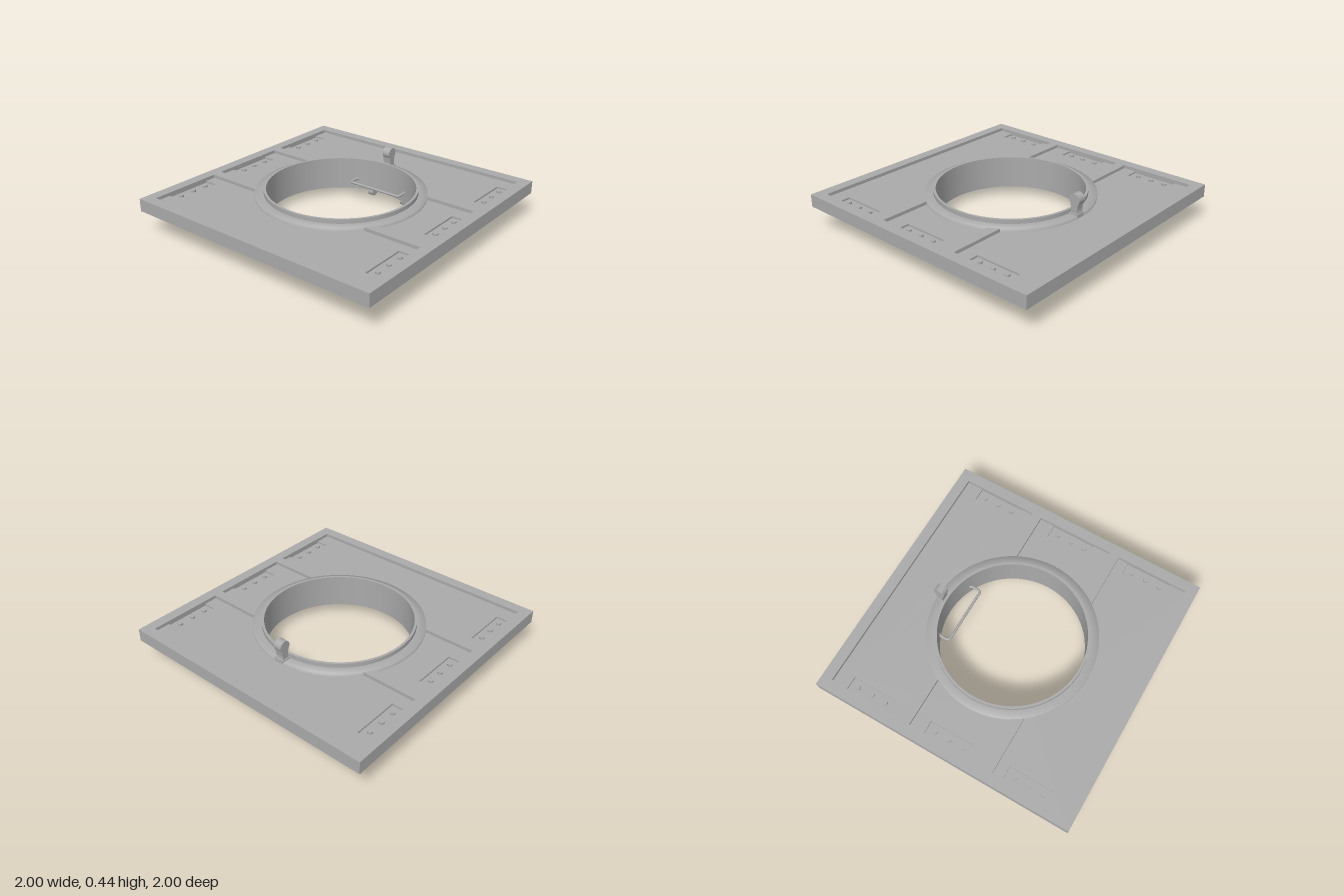
import * as THREE from 'three';
import { mergeGeometries } from 'three/addons/utils/BufferGeometryUtils.js';

const BOTTOM = 0.19, TOP = 0.285, MID = (BOTTOM + TOP) / 2;
const RECESS = 0.024;   // depth of the large trays on either face
const WEB = 0.02;       // thickness left at the rivet pockets
const EDGE = 0.92;      // inner edge of the rim

export function createModel() {
  const model = new THREE.Group();
  const grey = new THREE.MeshStandardMaterial({ color: 0xaaaaaa });
  grey.name = 'grey metal';

  const add = (name, geometry, x = 0, y = 0, z = 0) => {
    const mesh = new THREE.Mesh(geometry, grey);
    mesh.name = name;
    mesh.position.set(x, y, z);
    model.add(mesh);
    return mesh;
  };
  const rect = (Type, x0, x1, z0, z1) => new Type([
    new THREE.Vector2(x0, z0), new THREE.Vector2(x1, z0),
    new THREE.Vector2(x1, z1), new THREE.Vector2(x0, z1),
  ]);
  // Plan outline raised between two heights
  const slab = (shape, y0, y1) => new THREE.ExtrudeGeometry(shape, {
    depth: y1 - y0, bevelEnabled: false, curveSegments: 64,
  }).rotateX(-Math.PI / 2).translate(0, y0, 0);
  // Turned surface; sharp profiles get one lathe per segment
  const turn = (pts, smooth = false) => {
    const v = pts.map(p => new THREE.Vector2(...p));
    if (smooth) return new THREE.LatheGeometry(v, 72);
    return mergeGeometries(v.slice(1).map((p, i) => new THREE.LatheGeometry([v[i], p], 72)));
  };

  // Square rim
  const rim = rect(THREE.Shape, -1, 1, -1, 1);
  rim.holes.push(rect(THREE.Path, -EDGE, EDGE, -EDGE, EDGE));
  add('rim', slab(rim, BOTTOM, TOP));

  // Recessed floor with the round opening and six pockets
  const floor = rect(THREE.Shape, -0.95, 0.95, -0.95, 0.95);
  const bore = new THREE.Path();
  bore.absarc(0, 0, 0.57, 0, Math.PI * 2, true);
  floor.holes.push(bore);
  for (const side of [-1, 1]) {
    for (const x of [-0.628, -0.003, 0.628]) {
      const z = side * 0.87;
      floor.holes.push(rect(THREE.Path, x - 0.172, x + 0.172, z - 0.05, z + 0.05));
      add('pocketWeb', new THREE.BoxGeometry(0.35, WEB, 0.106), x, MID, z);
      for (const i of [-1, 0, 1]) {
        add('rivet', new THREE.CylinderGeometry(0.018, 0.018, WEB + 0.03, 20),
          x + i * 0.112, MID, side * 0.868);
      }
    }
    // Ribs running from the rim to the collar
    for (const x of [-0.34, 0.318]) {
      add('rib', new THREE.BoxGeometry(0.072, TOP - BOTTOM, EDGE - 0.49),
        x, MID, side * (EDGE + 0.49) / 2);
    }
  }
  add('floor', slab(floor, BOTTOM + RECESS, TOP - RECESS));

  // Round collar: lower wall, upper flange, lip and bore
  add('lowerCollar', turn([[0.535, 0.07], [0.66, 0.07], [0.66, 0.24]]));
  add('flange', turn([[0.617, 0.24], [0.617, 0.288], [0.553, 0.288]], true));
  add('lipAndBore', turn([[0.553, 0.285], [0.553, 0.318], [0.535, 0.318], [0.535, 0.07]]));

  // Lug: round head on a waisted neck with a flared foot, growing up from y = 0
  const lug = (radius, height, waist, foot, width) => {
    const cy = height - radius, a = -0.75;
    const s = new THREE.Shape();
    s.moveTo(-foot, -0.015);
    s.lineTo(foot, -0.015);
    s.lineTo(foot, 0);
    s.quadraticCurveTo(waist, 0.004, waist, cy * 0.35);
    s.lineTo(radius * Math.cos(a), cy + radius * Math.sin(a));
    s.absarc(0, cy, radius, a, Math.PI - a, false);
    s.lineTo(-waist, cy * 0.35);
    s.quadraticCurveTo(-waist, 0.004, -foot, 0);
    s.closePath();
    return new THREE.ExtrudeGeometry(s, {
      depth: width, bevelEnabled: false, curveSegments: 20,
    }).translate(0, 0, -width / 2);
  };
  add('topLug', lug(0.042, 0.149, 0.025, 0.036, 0.06), 0.587, 0.287, 0);
  add('topLugFoot', new THREE.BoxGeometry(0.07, 0.012, 0.078), 0.587, 0.291, 0);
  for (const z of [-0.15, 0.155]) {
    add('bottomLug', lug(0.03, 0.07, 0.024, 0.036, 0.046), 0.59, 0.07, z).rotation.x = Math.PI;
  }

  // Bail handle inside the bore
  const Y = 0.152, path = new THREE.CurvePath();
  const p = (x, z) => new THREE.Vector3(x, Y, z);
  const line = (a, b) => path.add(new THREE.LineCurve3(a, b));
  const bend = (a, b, c) => path.add(new THREE.QuadraticBezierCurve3(a, b, c));
  line(p(0.52, -0.205), p(0.48, -0.226));
  bend(p(0.48, -0.226), p(0.47, -0.228), p(0.46, -0.228));
  line(p(0.46, -0.228), p(0.428, -0.228));
  bend(p(0.428, -0.228), p(0.402, -0.228), p(0.402, -0.2));
  line(p(0.402, -0.2), p(0.402, 0.2));
  bend(p(0.402, 0.2), p(0.402, 0.222), p(0.428, 0.222));
  line(p(0.428, 0.222), p(0.46, 0.222));
  bend(p(0.46, 0.222), p(0.47, 0.222), p(0.48, 0.22));
  line(p(0.48, 0.22), p(0.52, 0.2));
  add('bailHandle', new THREE.TubeGeometry(path, 120, 0.01, 10));

  return model;
}
